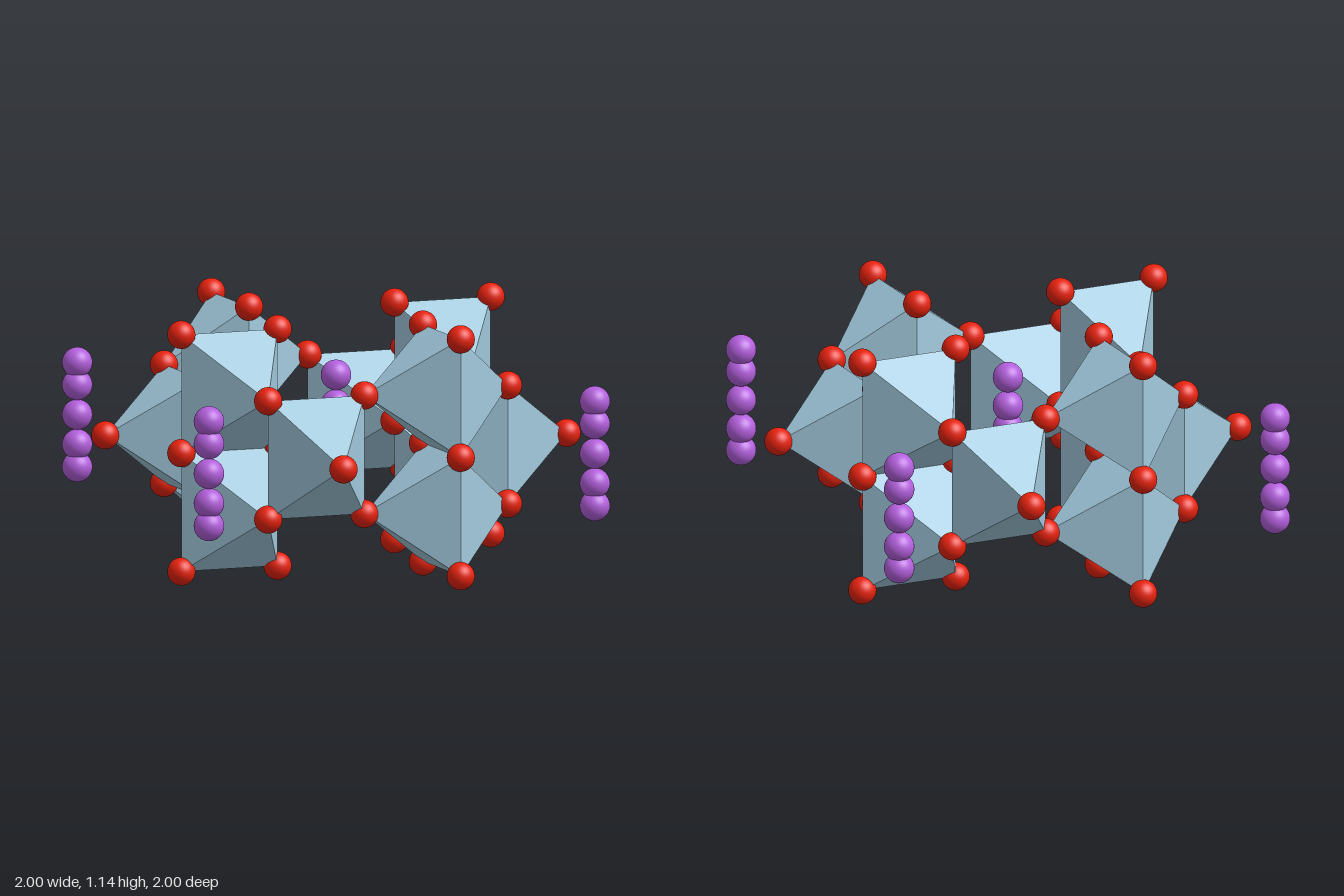
import * as THREE from 'three';
import { ConvexGeometry } from 'three/addons/geometries/ConvexGeometry.js';

const MID = 0.572;   // height of the middle layer
const CELL = 0.51;   // repeat distance along the tunnel
const HALF = CELL / 2;

// Plan positions [x, z] of the red corners in one wall of the tunnel
const inner = [0.27, 0.355], outer = [0.29, 0.795], tip = [0.94, 0.287];
const shared = [0.6, 0.51], linkA = [0.58, 0.07], linkB = [-0.07, 0.58];

function createMaterial(name, color) {
  const material = new THREE.MeshStandardMaterial({ color });
  material.name = name;
  return material;
}

// Octahedron with two single apexes at height y and a vertical rectangle between them
function octahedron(apexes, sides, y) {
  const points = apexes.map(([x, z]) => new THREE.Vector3(x, y, z));
  for (const [x, z] of sides) {
    points.push(new THREE.Vector3(x, y - HALF, z), new THREE.Vector3(x, y + HALF, z));
  }
  return new ConvexGeometry(points);
}

export function createModel() {
  const model = new THREE.Group();
  model.name = 'tunnelCrystal';
  const blue = createMaterial('paleBlue', 0xa2cade);
  const red = createMaterial('red', 0xe6220e);
  const purple = createMaterial('purple', 0xb35fdc);
  const redBall = new THREE.SphereGeometry(0.06, 32, 20);
  const purpleBall = new THREE.SphereGeometry(0.065, 32, 20);

  const add = (parent, name, geometry, material, x = 0, y = 0, z = 0) => {
    const mesh = new THREE.Mesh(geometry, material);
    mesh.name = name;
    mesh.position.set(x, y, z);
    parent.add(mesh);
  };

  // One wall: a middle octahedron joined to a stacked pair
  const blocks = [
    octahedron([tip, inner], [linkA, shared], MID),
    octahedron([shared, linkB], [inner, outer], MID - HALF),
    octahedron([shared, linkB], [inner, outer], MID + HALF),
  ];
  const corners = [
    [tip, [0]],
    [inner, [-CELL, 0, CELL]],
    [outer, [-CELL, 0, CELL]],
    [shared, [-HALF, HALF]],
    [linkA, [-HALF, HALF]],
  ];

  // Four walls turned around the central tunnel
  for (let i = 0; i < 4; i++) {
    const wall = new THREE.Group();
    wall.name = 'wall' + (i + 1);
    wall.rotation.y = i * Math.PI / 2;
    for (const block of blocks) add(wall, 'octahedron', block, blue);
    for (const [[x, z], levels] of corners) {
      for (const dy of levels) add(wall, 'cornerBall', redBall, red, x, MID + dy, z);
    }
    model.add(wall);
  }

  // Overlapping balls in the corner tunnels
  for (const x of [-0.868, 0.868]) {
    for (const z of [-0.868, 0.868]) {
      for (const dy of [-0.225, -0.128, 0, 0.128, 0.225]) {
        add(model, 'tunnelBall', purpleBall, purple, x, MID + dy, z);
      }
    }
  }
  // The central tunnel is shifted by half a repeat
  for (const dy of [0.03, 0.127, HALF]) {
    for (const s of [-1, 1]) add(model, 'centreBall', purpleBall, purple, 0, MID + s * dy, 0);
  }
  return model;
}
